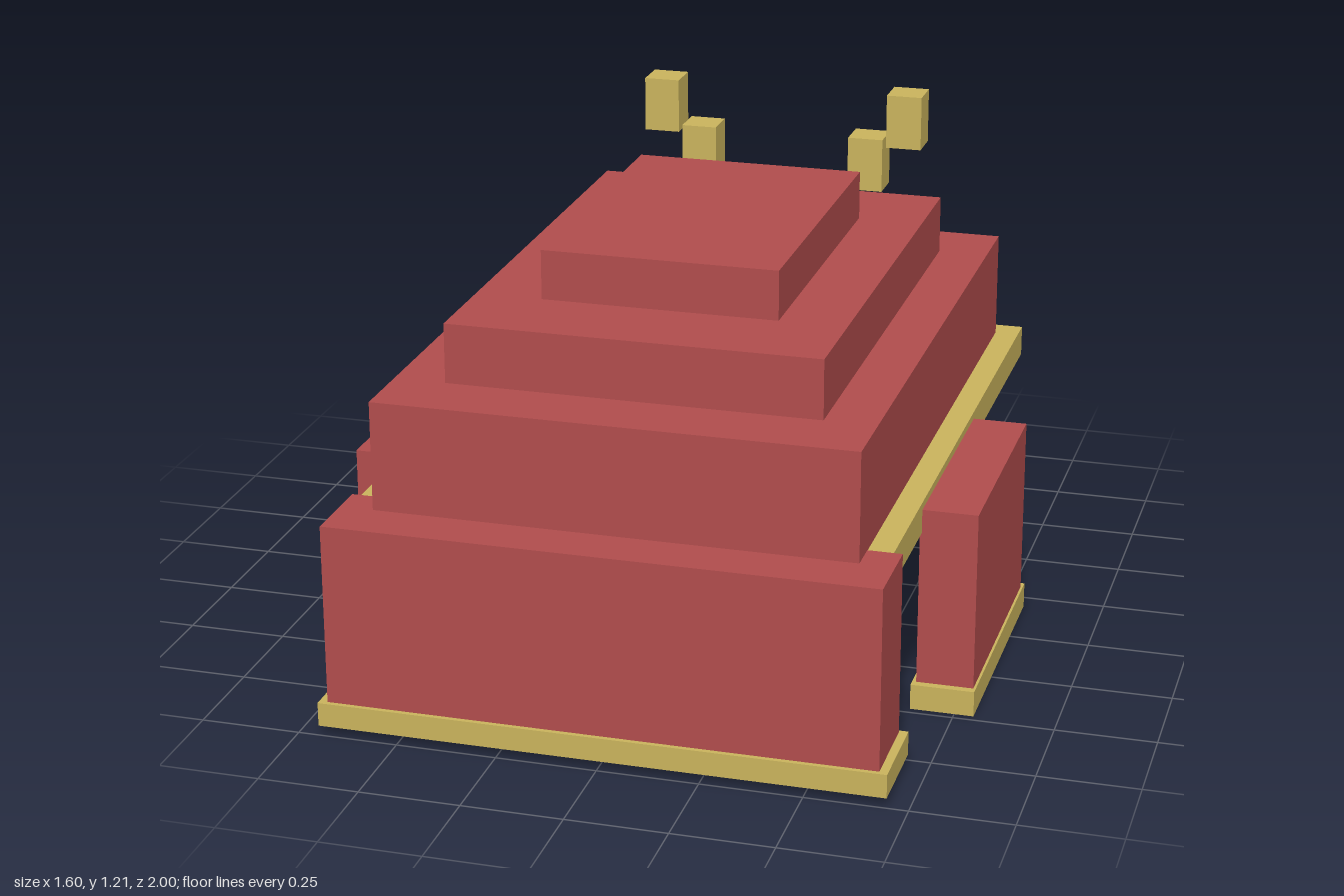
import * as THREE from 'three';

export function createModel() {
  const root = new THREE.Group();
  root.name = 'steppedCrab';

  const red = new THREE.MeshStandardMaterial({ color: 0xb04c4c });
  red.name = 'shellRed';
  const gold = new THREE.MeshStandardMaterial({ color: 0xc9b35c });
  gold.name = 'trimGold';

  // Adds a box given its minimum and maximum on each axis.
  function box(name, material, [x0, x1], [y0, y1], [z0, z1]) {
    const mesh = new THREE.Mesh(new THREE.BoxGeometry(x1 - x0, y1 - y0, z1 - z0), material);
    mesh.position.set((x0 + x1) / 2, (y0 + y1) / 2, (z0 + z1) / 2);
    mesh.name = name;
    root.add(mesh);
  }
  const wide = (half) => [-half, half];
  const onSide = (side, a, b) => (side > 0 ? [a, b] : [-b, -a]);

  // Base plate and three stepped tiers
  box('basePlate', gold, wide(0.655), [0.46, 0.539], [-0.852, 0.92]);
  box('lowerTier', red, wide(0.593), [0.539, 0.815], [-0.79, 0.86]);
  box('middleTier', red, wide(0.464), [0.815, 0.965], [-0.62, 0.69]);
  box('upperTier', red, wide(0.296), [0.965, 1.09], [-0.385, 0.458]);

  // Front skirt with its trim
  box('frontSkirt', red, wide(0.677), [0.085, 0.541], [0.78, 0.988]);
  box('frontSkirtTrim', gold, wide(0.698), [0.025, 0.085], [0.77, 1.0]);

  // Rear post and bar
  box('rearPost', gold, wide(0.1), [0.539, 0.755], [-0.83, -0.75]);
  box('rearBar', gold, wide(0.052), [0.725, 0.826], [-1.0, -0.61]);

  for (const side of [1, -1]) {
    const label = side > 0 ? 'left' : 'right';
    // Side skirts with their trim
    box(label + 'SideSkirt', red, onSide(side, 0.65, 0.792), [0.065, 0.52], [-0.172, 0.46]);
    box(label + 'SideSkirtTrim', gold, onSide(side, 0.64, 0.798), [0, 0.065], [-0.195, 0.48]);
    // Rising blocks of the rear crest
    for (let i = 0; i < 3; i++) {
      const x = 0.08 + i * 0.105;
      const y = 0.81 + i * 0.125;
      box(label + 'CrestBlock' + (i + 1), gold, onSide(side, x, x + 0.095), [y, y + 0.145], [-0.816, -0.722]);
    }
  }
  return root;
}
